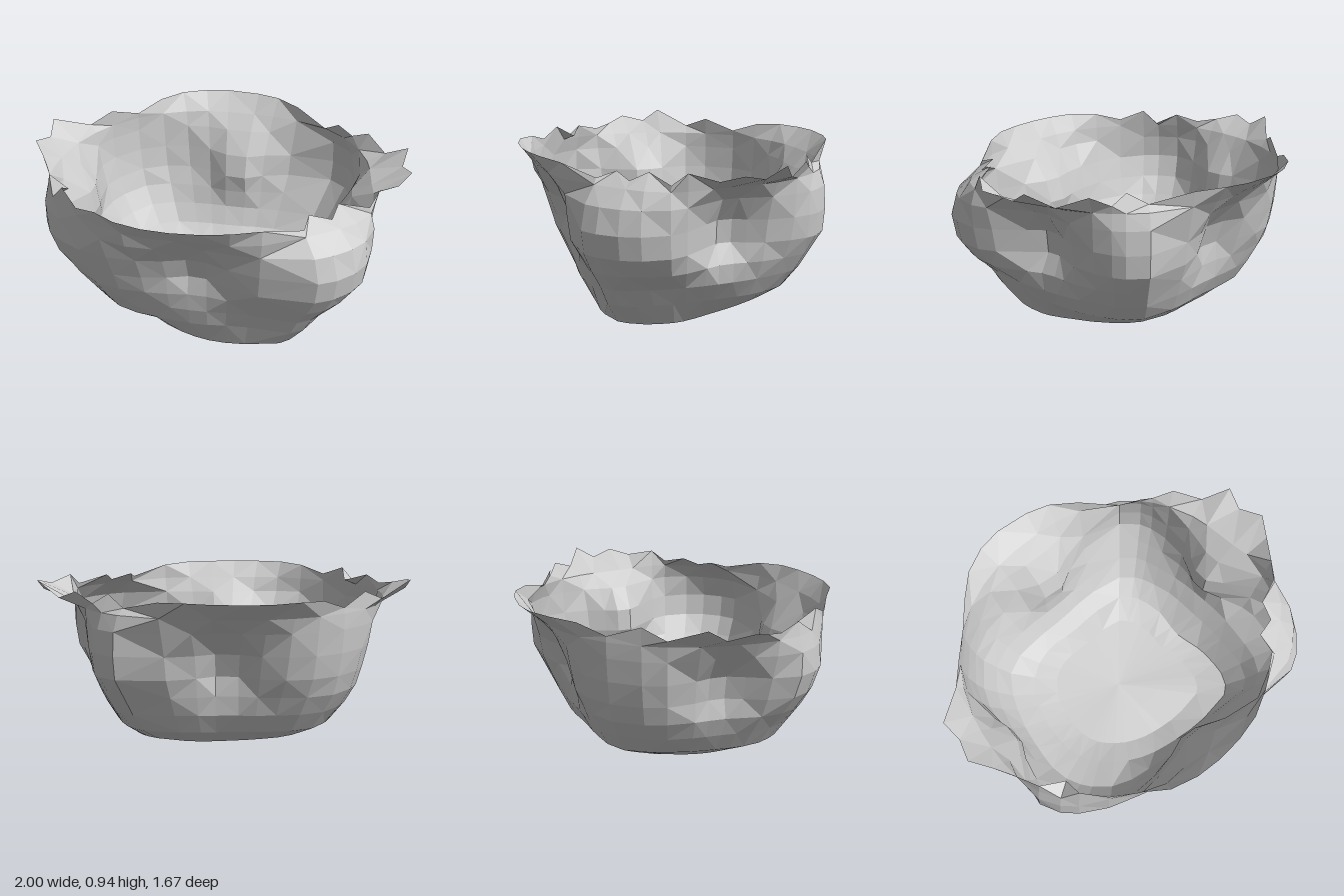
import * as THREE from 'three';

// Rim outline as [x, y, z], running from the left side round by the front
const RIM = [
  [1, .91, .02], [.94, .88, .12], [.85, .91, .24], [.81, .85, .31], [.66, .89, .37], [.64, .85, .46],
  [.53, .88, .49], [.52, .85, .59], [.34, .9, .72], [.2, .91, .79], [.06, .91, .82], [-.08, .91, .83],
  [-.22, .91, .82], [-.36, .91, .78], [-.48, .9, .69], [-.6, .86, .6], [-.7, .91, .5], [-.7, .85, .4],
  [-.82, .89, .34], [-.87, .86, .22], [-.93, .88, .12], [-1, .91, .02], [-.96, .88, -.1], [-.97, .94, -.2],
  [-.8, .86, -.33], [-.7, .91, -.42], [-.58, .85, -.55], [-.47, .9, -.66], [-.36, .91, -.76], [-.23, .91, -.82],
  [-.1, .91, -.84], [.08, .91, -.82], [.2, .91, -.78], [.33, .9, -.69], [.5, .85, -.55], [.58, .91, -.48],
  [.66, .86, -.46], [.75, .91, -.4], [.85, .86, -.28], [.97, .94, -.2], [.95, .88, -.1],
];

// Sixteen equal directions from +x round by +z: radii and heights of the rounded foot
const FOOT_R = [.46, .54, .62, .52, .46, .46, .48, .5, .48, .48, .48, .44, .4, .44, .52, .5];
const FOOT_Y = [.08, .07, .08, .06, .05, .08, .12, .13, .13, .14, .14, .14, .13, .13, .14, .12];
const SOLE_Y = [.065, .055, .05, .02, 0, .03, .06, .08, .09, .1, .11, .11, .11, .11, .1, .08];

// Wall radii at each height: four dents at the sides, four lobes between them
const WALL = [
  [.2, [.58, .63, .72, .56, .54, .56, .64, .66, .61, .6, .61, .52, .48, .53, .62, .6]],
  [.3, [.65, .7, .78, .6, .565, .6, .71, .73, .67, .68, .68, .58, .53, .58, .7, .66]],
  [.4, [.66, .82, .86, .66, .57, .64, .77, .81, .71, .74, .74, .62, .53, .62, .76, .71]],
  [.5, [.61, .89, .92, .72, .55, .66, .81, .88, .69, .77, .77, .67, .51, .66, .82, .74]],
  [.62, [.62, .91, .94, .74, .59, .7, .85, .92, .71, .8, .79, .7, .55, .68, .83, .76]],
  [.74, [.7, .91, .9, .76, .68, .78, .85, .92, .8, .82, .8, .73, .65, .72, .82, .78]],
  [.82, [.8, .88, .81, .79, .75, .8, .85, .9, .86, .83, .8, .76, .73, .75, .79, .8]],
];

// Smooth periodic curve through the sixteen values
function blend(values, angle) {
  const u = (angle / (Math.PI * 2) + 1) * 16, i = Math.floor(u), t = u - i;
  const [a, b, c, d] = [-1, 0, 1, 2].map(k => values[(i + k) % 16]);
  return b + .5 * t * (c - a + t * (2 * a - 5 * b + 4 * c - d + t * (3 * (b - c) + d - a)));
}

export function createModel() {
  const angles = RIM.map(([x, , z]) => Math.atan2(z, x));
  const n = angles.length;
  const at = (r, y, a) => [r * Math.cos(a), y, r * Math.sin(a)];

  // Rings from the sole up to the ragged rim
  const centreY = .06;
  const rows = [
    angles.map(a => at(.38 * blend(FOOT_R, a), (centreY + blend(SOLE_Y, a)) / 2, a)),
    angles.map(a => at(.74 * blend(FOOT_R, a), blend(SOLE_Y, a), a)),
    angles.map(a => at(blend(FOOT_R, a), blend(FOOT_Y, a), a)),
    ...WALL.map(([y, radii]) => angles.map(a => at(blend(radii, a), y, a))),
    RIM,
  ];

  const positions = [0, centreY, 0, ...rows.flat(2)];
  const index = [];
  const id = (row, col) => 1 + row * n + (col % n);
  for (let c = 0; c < n; c++) {
    index.push(0, id(0, c), id(0, c + 1));
    for (let r = 0; r < rows.length - 1; r++) {
      const p = id(r, c), q = id(r, c + 1), s = id(r + 1, c), t = id(r + 1, c + 1);
      // Alternating diagonals keep the facets irregular
      if ((r + c) % 2) index.push(p, s, q, q, s, t);
      else index.push(p, s, t, p, t, q);
    }
  }

  const geometry = new THREE.BufferGeometry();
  geometry.setAttribute('position', new THREE.Float32BufferAttribute(positions, 3));
  geometry.setIndex(index);
  geometry.computeVertexNormals();

  const bowl = new THREE.Mesh(geometry, new THREE.MeshStandardMaterial({
    color: 0xcccccc, flatShading: true, side: THREE.DoubleSide,
  }));
  bowl.name = 'bowlShell';
  const group = new THREE.Group();
  group.name = 'dentedBowl';
  group.add(bowl);
  return group;
}
